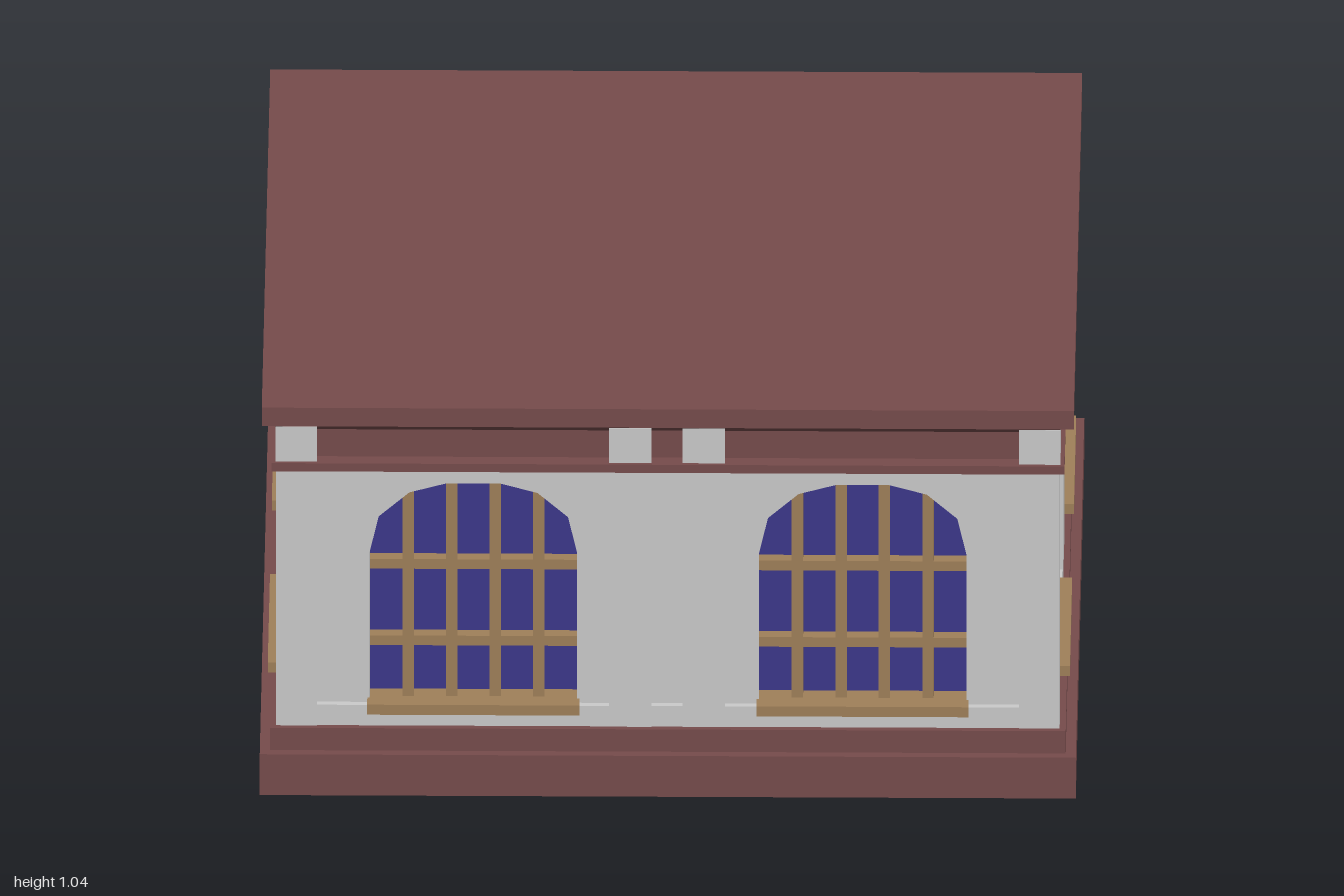
import * as THREE from 'three';

const mat = (color) => new THREE.MeshStandardMaterial({ color, flatShading: true });

export function createModel() {
  const stone = mat(0xcccccc);
  const maroon = mat(0x774c4c);
  const blue = mat(0x3c388c);
  const wood = mat(0xa0805a);
  const model = new THREE.Group();
  model.name = 'building';

  const add = (parent, name, geometry, material) => {
    const mesh = new THREE.Mesh(geometry, material);
    mesh.name = name;
    parent.add(mesh);
    return mesh;
  };
  // Box given by its minimum and maximum corners
  const box = (parent, name, material, [x0, y0, z0], [x1, y1, z1]) =>
    add(parent, name, new THREE.BoxGeometry(x1 - x0, y1 - y0, z1 - z0), material)
      .position.set((x0 + x1) / 2, (y0 + y1) / 2, (z0 + z1) / 2);
  // Square storey-wide slab
  const slab = (name, material, half, y0, y1) =>
    box(model, name, material, [-half, y0, -half], [half, y1, half]);

  // Horizontal courses, bottom to top
  slab('base', maroon, 1, 0, 0.11);
  slab('plinth', maroon, 0.975, 0.11, 0.17);
  slab('skirting', stone, 0.958, 0.17, 0.225);
  slab('stringMoulding', maroon, 0.972, 0.86, 0.882);
  slab('frieze', maroon, 0.93, 0.882, 0.96);
  slab('roofSlab', maroon, 0.995, 0.992, 1.042);

  // Cornice flaring out from the frieze to the roof slab
  const flare = new THREE.CylinderGeometry(0.985 * Math.SQRT2, 0.93 * Math.SQRT2, 0.037, 4);
  flare.rotateY(Math.PI / 4);
  add(model, 'cornice', flare, maroon).position.y = 0.9735;

  // Right half of the faceted arch, from the springing to the crown
  const archSide = [[0.254, 0.63], [0.232, 0.725], [0.157, 0.79], [0.065, 0.815]];
  const archPoints = (cx) => [
    [-0.254, 0.225], [0.254, 0.225], ...archSide,
    ...archSide.map(([x, y]) => [-x, y]).reverse(),
  ].map(([x, y]) => new THREE.Vector2(cx + x, y));

  const glassZ = 0.885, panelZ = 0.94;

  const makeWindow = (facade, cx, barHeights) => {
    const win = new THREE.Group();
    win.name = 'window';
    win.position.x = cx;
    facade.add(win);
    add(win, 'glass', new THREE.ShapeGeometry(new THREE.Shape(archPoints(0))), blue)
      .position.z = glassZ + 0.002;
    for (const x of [-0.16, -0.053, 0.053, 0.16]) {
      const top = Math.abs(x) > 0.1 ? 0.795 : 0.82;
      box(win, 'verticalBar', wood, [x - 0.014, 0.22, glassZ], [x + 0.014, top, 0.93]);
    }
    for (const y of barHeights) {
      box(win, 'crossBar', wood, [-0.256, y - 0.013, glassZ], [0.256, y + 0.013, 0.922]);
    }
    box(win, 'sill', wood, [-0.26, 0.21, glassZ], [0.26, 0.237, 0.983]);
  };

  // Four facades turned about the centre
  for (let i = 0; i < 4; i++) {
    const facade = new THREE.Group();
    facade.name = 'facade';
    facade.rotation.y = i * Math.PI / 2;
    model.add(facade);

    const wall = new THREE.Shape([[-0.93, 0.2], [0.93, 0.2], [0.93, 0.87], [-0.93, 0.87]]
      .map(([x, y]) => new THREE.Vector2(x, y)));
    for (const cx of [-0.477, 0.477]) {
      wall.holes.push(new THREE.Path(archPoints(cx)));
      makeWindow(facade, cx, i % 2 ? [0.37, 0.553] : [0.383, 0.589]);
    }
    add(facade, 'wallPanel',
      new THREE.ExtrudeGeometry(wall, { depth: panelZ - glassZ, bevelEnabled: false }), stone)
      .position.z = glassZ;

    // Paired middle pilasters with their blocks over the moulding
    for (const x of [-0.092, 0.088]) {
      box(facade, 'pilaster', stone, [x - 0.052, 0.17, 0.9], [x + 0.052, 0.86, 0.96]);
      box(facade, 'pilasterBlock', stone, [x - 0.052, 0.882, 0.9], [x + 0.052, 0.975, 0.962]);
    }
    // Corner pilaster with its block
    box(facade, 'cornerPilaster', stone, [0.86, 0.17, 0.86], [0.96, 0.86, 0.96]);
    box(facade, 'cornerBlock', stone, [0.86, 0.882, 0.86], [0.962, 0.975, 0.962]);
  }
  return model;
}
